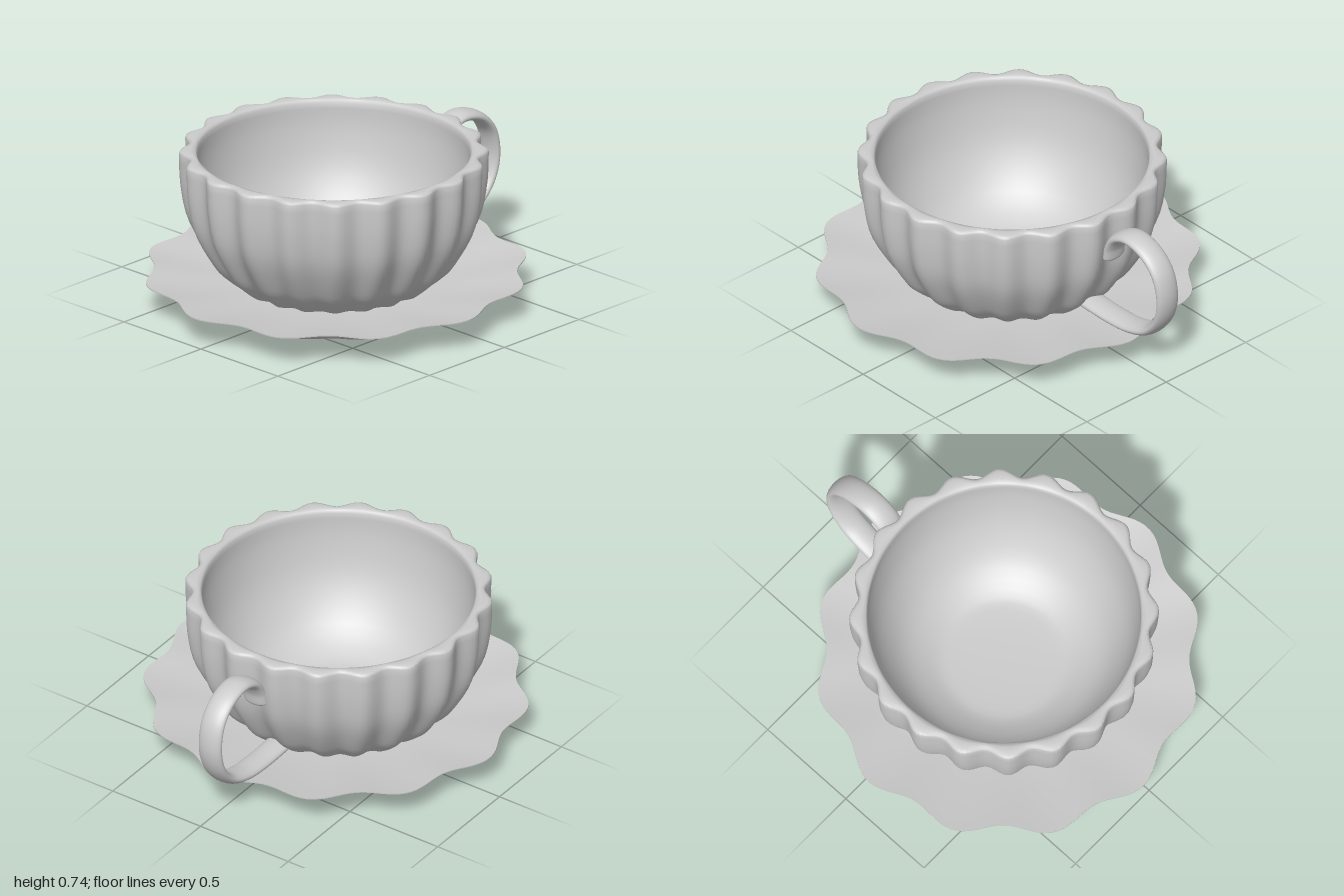
import * as THREE from 'three';
import { toCreasedNormals } from 'three/addons/utils/BufferGeometryUtils.js';

const material = new THREE.MeshStandardMaterial({ color: 0xcccccc });
const toPoints = (list) => list.map(([x, y]) => new THREE.Vector2(x, y));
const smooth = (list, n) => new THREE.SplineCurve(toPoints(list)).getPoints(n);

// Lathe whose radius ripples around the axis; amps[j] is the ripple of profile point j
function scallopedLathe(profile, amps, lobes, phase, segments, crease) {
  const geo = new THREE.LatheGeometry(profile, segments);
  const pos = geo.attributes.position;
  for (let i = 0; i < pos.count; i++) {
    const x = pos.getX(i), z = pos.getZ(i);
    const r = Math.hypot(x, z);
    if (r < 1e-5) continue;
    const k = 1 + (amps[i % profile.length] * Math.cos(lobes * (Math.atan2(z, x) - phase))) / r;
    pos.setXYZ(i, x * k, pos.getY(i), z * k);
  }
  return toCreasedNormals(geo, crease);
}

function addMesh(group, name, geometry) {
  const mesh = new THREE.Mesh(geometry, material);
  mesh.name = name;
  group.add(mesh);
  return mesh;
}

export function createModel() {
  const model = new THREE.Group();
  model.name = 'cupAndSaucer';

  // Cup: fluted outside, rounded lip, plain round inside
  const outer = smooth([[0.36, 0.055], [0.43, 0.095], [0.51, 0.16], [0.57, 0.23], [0.66, 0.4],
    [0.695, 0.57], [0.702, 0.73]], 20);
  const lip = toPoints([[0.698, 0.741], [0.685, 0.746], [0.66, 0.746], [0.645, 0.742]]);
  const inner = smooth([[0.638, 0.73], [0.63, 0.6], [0.58, 0.4], [0.47, 0.22], [0.33, 0.125],
    [0.22, 0.105], [0, 0.1]], 20);
  const cupProfile = [new THREE.Vector2(0, 0.055), ...outer, ...lip, ...inner];
  const cupAmps = [0, ...outer.map((p) => p.x * 0.029), 0.02, 0.018, 0.006, 0, ...inner.map(() => 0)];
  const cup = addMesh(model, 'cup',
    scallopedLathe(cupProfile, cupAmps, 20, Math.PI / 20, 200, 0.9));
  cup.position.set(-0.09, 0, -0.02);

  // Saucer: thin wavy plate with a scalloped foot and a round hollow underneath
  const plate = [
    [0, 0.035, 0], [0.36, 0.03, 0], [0.41, 0.006, 0], [0.53, 0.007, 0.014], [0.545, 0.016, 0.015],
    [0.625, 0.085, 0.019], [0.645, 0.092, 0.02], [0.875, 0.148, 0.03], [0.875, 0.153, 0.03],
    [0.64, 0.113, 0.015], [0.45, 0.098, 0], [0, 0.09, 0],
  ];
  const saucer = addMesh(model, 'saucer', scallopedLathe(
    toPoints(plate), plate.map((p) => p[2]), 12, THREE.MathUtils.degToRad(3), 192, 0.5));
  saucer.position.set(-0.095, 0.004, 0);
  saucer.rotation.z = 0.008;

  // Handle: looped strap, a planar tube widened sideways, with rounded ends
  const handle = new THREE.Group();
  handle.name = 'handle';
  const path = new THREE.CatmullRomCurve3([
    [0.6, 0.515], [0.612, 0.575], [0.655, 0.64], [0.745, 0.678], [0.86, 0.65], [0.94, 0.57],
    [0.969, 0.44], [0.94, 0.32], [0.86, 0.225], [0.74, 0.178], [0.6, 0.165], [0.42, 0.17],
  ].map(([x, y]) => new THREE.Vector3(x, y, 0)));
  addMesh(handle, 'handleLoop', new THREE.TubeGeometry(path, 90, 0.027, 20));
  for (const t of [0, 1]) {
    addMesh(handle, 'handleEnd', new THREE.SphereGeometry(0.027, 20, 12)).position.copy(path.getPoint(t));
  }
  handle.scale.z = 2.35;
  handle.rotation.x = 0.03;
  handle.position.z = -0.048;
  model.add(handle);

  return model;
}
